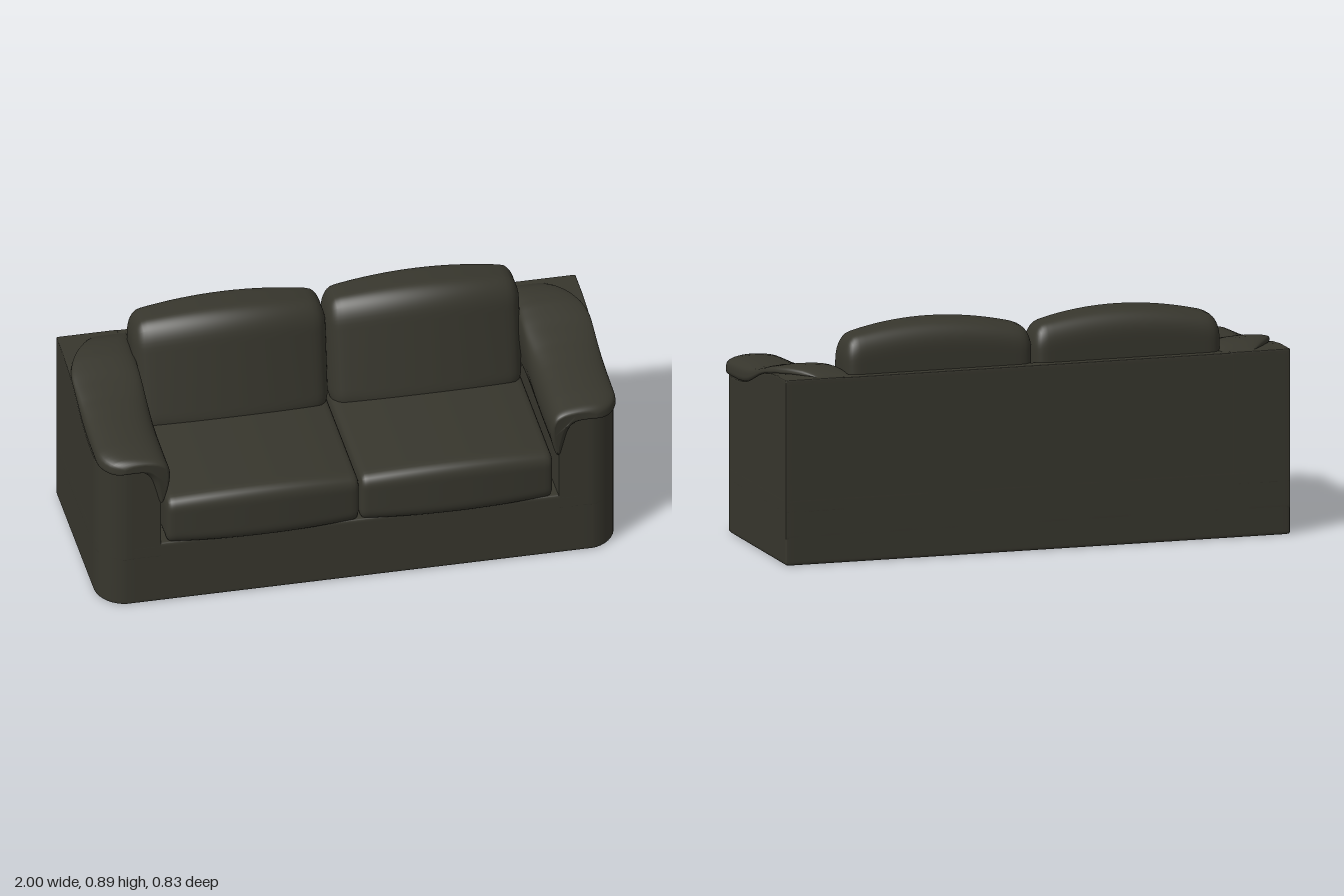
import * as THREE from 'three';
import { mergeVertices } from 'three/addons/utils/BufferGeometryUtils.js';

const lerp = THREE.MathUtils.lerp;

// Piecewise-linear lookup through [z, value] pairs, sorted by rising z
function lookup(table, z) {
  if (z <= table[0][0]) return table[0][1];
  for (let i = 1; i < table.length; i++) {
    const [z0, v0] = table[i - 1], [z1, v1] = table[i];
    if (z <= z1) return lerp(v0, v1, (z - z0) / (z1 - z0));
  }
  return table[table.length - 1][1];
}

// Top line of the arm panel, and crown of the arm pad, from back to front
const ARM_LINE = [[-0.415, 0.71], [-0.3, 0.709], [-0.22, 0.702], [-0.15, 0.69], [-0.1, 0.676],
  [-0.05, 0.657], [0, 0.638], [0.05, 0.621], [0.1, 0.61], [0.17, 0.602], [0.3, 0.6]];
const PAD_CROWN = [[-0.4, 0.705], [-0.36, 0.725], [-0.33, 0.735], [-0.28, 0.74], [-0.22, 0.736],
  [-0.16, 0.723], [-0.1, 0.709], [0, 0.692], [0.1, 0.682], [0.3, 0.67], [0.35, 0.664], [0.405, 0.655]];

// Outer half width with a rounded front corner
function corner(z, front, r) {
  const t = Math.min(1, Math.max(0, (z - front + r) / r));
  return 1 - r * (1 - Math.sqrt(1 - t * t));
}

// Remove seams and smooth the normals
function smooth(geo) {
  geo.deleteAttribute('normal');
  geo.deleteAttribute('uv');
  geo.clearGroups();
  const merged = mergeVertices(geo, 1e-5);
  merged.computeVertexNormals();
  return merged;
}

function deform(geo, rule) {
  const pos = geo.attributes.position, p = new THREE.Vector3();
  for (let i = 0; i < pos.count; i++) {
    p.fromBufferAttribute(pos, i);
    rule(p);
    pos.setXYZ(i, p.x, p.y, p.z);
  }
  return geo;
}

// Box between two corners, with a rounding radius per axis and a bending rule
function softBox(min, max, radii, rule = () => {}, n = 28) {
  const geo = new THREE.BoxGeometry(2, 2, 2, n, n, n);
  deform(geo, (p) => {
    const q = p.toArray().map((u) => Math.sin(u * Math.PI / 2));
    const core = [], d = new THREE.Vector3();
    for (let k = 0; k < 3; k++) {
      const v = lerp(min[k], max[k], (q[k] + 1) / 2);
      core[k] = Math.min(max[k] - radii[k], Math.max(min[k] + radii[k], v));
      d.setComponent(k, (v - core[k]) / radii[k]);
    }
    d.normalize();
    p.set(core[0] + d.x * radii[0], core[1] + d.y * radii[1], core[2] + d.z * radii[2]);
    rule(p);
  });
  return smooth(geo);
}

// Mirror across x and restore the face order
function mirrored(geo) {
  const g = geo.clone().scale(-1, 1, 1), a = g.index.array;
  for (let i = 0; i < a.length; i += 3) [a[i], a[i + 1]] = [a[i + 1], a[i]];
  g.computeVertexNormals();
  return g;
}

function armPad() {
  // Hooked section: flat over the arm, hanging down its inner side
  const shape = new THREE.Shape();
  shape.moveTo(1, 0.615);
  shape.splineThru([[0.992, 0.645], [0.95, 0.661], [0.88, 0.665], [0.8, 0.655], [0.752, 0.63],
    [0.733, 0.585], [0.735, 0.53], [0.75, 0.47], [0.765, 0.44], [0.785, 0.445], [0.797, 0.5],
    [0.815, 0.56], [0.85, 0.592], [0.9, 0.6], [0.985, 0.6], [1, 0.615]]
    .map(([x, y]) => new THREE.Vector2(x, y)));
  const b = 0.018;
  const geo = new THREE.ExtrudeGeometry(shape, {
    depth: 0.745, steps: 40, curveSegments: 4,
    bevelEnabled: true, bevelSize: b, bevelOffset: -b, bevelThickness: 0.03, bevelSegments: 6,
  });
  geo.translate(0, 0, -0.37);
  deform(geo, (p) => {
    const { y, z } = p, base = lookup(ARM_LINE, z), crown = lookup(PAD_CROWN, z);
    // Outer edge curls in at the back and rounds off at the front
    const back = Math.max(0, (-0.12 - z) / 0.28);
    const outer = corner(z, 0.412, 0.12) - 0.15 * back * back;
    p.x = lerp(0.735, outer, (p.x - 0.735) / 0.265);
    p.y = y > 0.6 ? base + (y - 0.6) / 0.065 * (crown - base)
      : 0.44 + (y - 0.44) / 0.16 * (base - 0.44);
    if (z > 0.3) p.z -= Math.max(0, 0.6 - y) * 0.15 * (z - 0.3) / 0.1;
  });
  return smooth(geo);
}

export function createModel() {
  const group = new THREE.Group();
  const upholstery = new THREE.MeshStandardMaterial({ color: 0x37362d });
  upholstery.name = 'dark olive upholstery';
  const add = (name, geo) => {
    const mesh = new THREE.Mesh(geo, upholstery);
    mesh.name = name;
    group.add(mesh);
    return mesh;
  };

  // Base plinth with rounded front corners
  add('base', softBox([-1, 0, -0.415], [1, 0.26, 0.375], [0.012, 0.012, 0.008],
    (p) => { p.x *= corner(p.z, 0.375, 0.12); }, 36));

  // Back panel
  add('backPanel', softBox([-1, 0.1, -0.415], [1, 0.71, -0.36], [0.005, 0.005, 0.005]));

  // Arm panels with a sloping top, and the pads over them
  const arm = softBox([0.765, 0.2, -0.415], [1, 1, 0.375], [0.006, 0.006, 0.006], (p) => {
    p.x = lerp(0.765, corner(p.z, 0.375, 0.12), (p.x - 0.765) / 0.235);
    p.y = lerp(0.2, lookup(ARM_LINE, p.z) + 0.002, (p.y - 0.2) / 0.8);
  }, 36);
  add('leftArm', arm);
  add('rightArm', mirrored(arm));
  const pad = armPad();
  add('leftArmPad', pad);
  add('rightArmPad', mirrored(pad));

  // Two seat and two back cushions, crowned across their width
  const W = 0.373;
  const crown = (x) => 1 - (x / W) ** 2;
  const seat = softBox([-W, 0.25, -0.3], [W, 0.447, 0.383], [0.02, 0.05, 0.045], (p) => {
    const c = crown(p.x), top = (p.y - 0.25) / 0.197, front = (p.z + 0.3) / 0.683;
    p.y += 0.03 * c * top;
    p.z += 0.032 * c * front;
  });
  const back = softBox([-W, 0.4, -0.38], [W, 0.84, -0.165], [0.05, 0.085, 0.07], (p) => {
    const c = crown(p.x), front = (p.z + 0.38) / 0.215, up = Math.max(0, (p.y - 0.4) / 0.44);
    p.z += front * (0.05 * c + 0.2 * (0.62 - p.y));
    p.y += 0.05 * c * up;
  });
  for (const [side, s] of [['left', 1], ['right', -1]]) {
    add(side + 'SeatCushion', seat).position.x = s * W;
    add(side + 'BackCushion', back).position.x = s * W;
  }
  return group;
}
